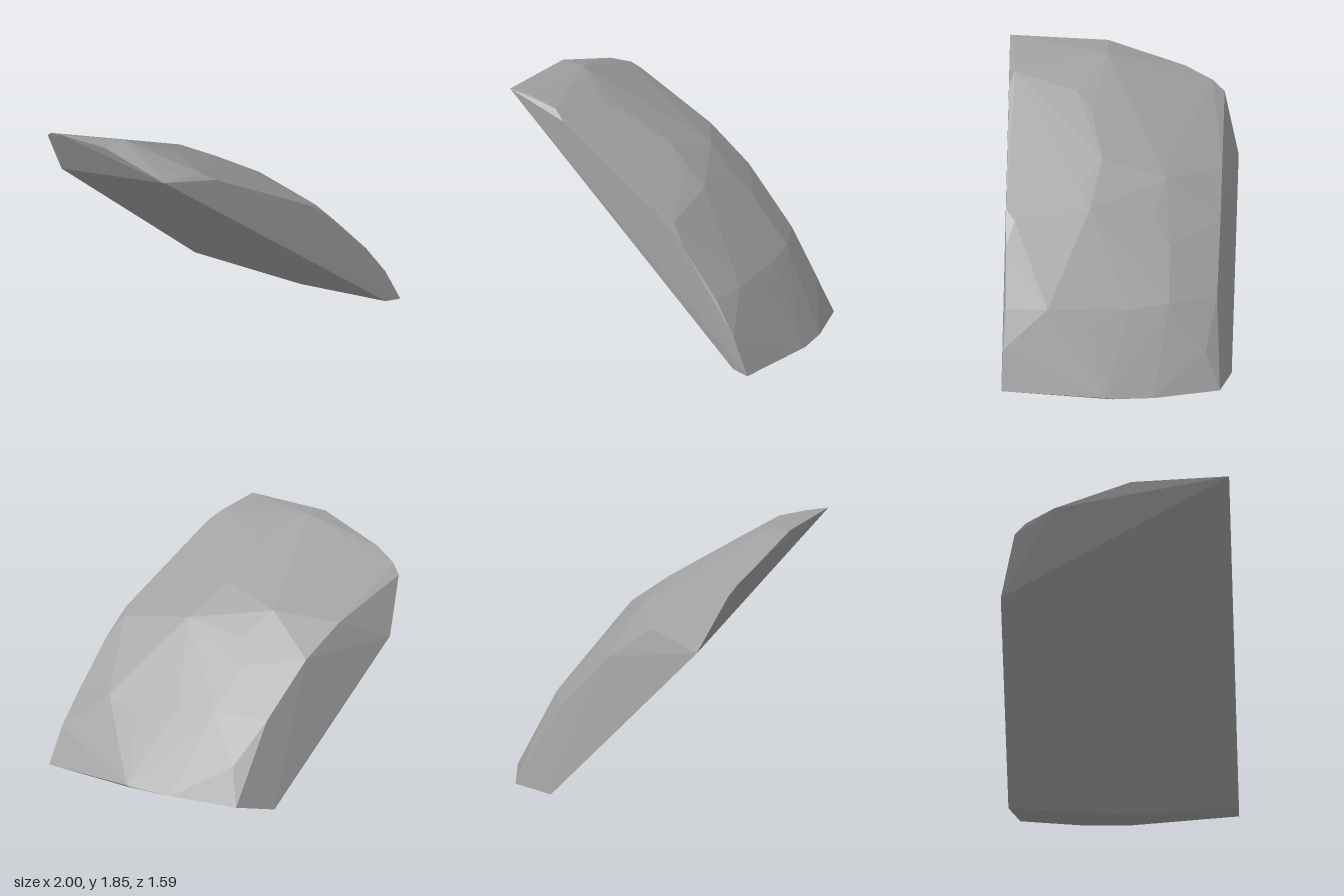
import * as THREE from 'three';
import { ConvexGeometry } from 'three/addons/geometries/ConvexGeometry.js';

// A faceted rock shard: a domed slab tilted down to the left, cut flat at front, back and underside.
const v = (x, y, z) => new THREE.Vector3(x, y, z);

// corners of the flat underside, its bevel and the end edges
const base = [
  v(-0.98, 1.845, 0.77), v(0.88, 0.22, 0.785), v(1, 0.2, 0.79),
  v(-0.71, 1.07, -0.8), v(0.4, 0, -0.775), v(0.68, 0.07, 0.07),
  v(0.7, 0.04, -0.7), v(0.89, 0.09, -0.25), v(0.96, 0.12, 0.03), v(0.97, 0.135, 0.08),
  v(-0.9, 1.46, -0.7), v(-0.93, 1.53, -0.62), v(-0.97, 1.62, -0.43), v(-1, 1.8, 0.1),
];

// upper rim of the front face
const frontRim = [
  v(-0.83, 1.82, 0.74), v(-0.63, 1.77, 0.73), v(-0.54, 1.71, 0.768), v(0.26, 1.21, 0.772),
  v(0.34, 1.16, 0.71), v(0.45, 1.03, 0.77), v(0.73, 0.69, 0.765), v(0.88, 0.46, 0.78),
];

// upper rim of the back face
const backRim = [v(-0.32, 1.2, -0.695), v(0, 0.98, -0.69), v(0.37, 0.6, -0.675)];

// facet corners across the dome
const dome = [
  v(-0.83, 1.8, 0.1), v(-0.52, 1.68, 0.3), v(-0.4, 1.6, 0.2), v(-0.08, 1.41, 0.12),
  v(-0.06, 1.27, -0.32), v(0.12, 1.29, 0.28), v(0.24, 1.2, 0.2), v(0.16, 1.1, -0.24),
  v(0.28, 0.93, -0.35), v(0.55, 0.64, -0.35), v(0.63, 0.64, -0.08), v(0.74, 0.57, 0.2),
  v(0.73, 0.69, 0.48), v(0.63, 0.3, -0.6),
];

export function createModel() {
  const stone = new THREE.MeshStandardMaterial({ color: 0xa0a0a0 });
  stone.name = 'stone grey';
  stone.flatShading = true;

  const rock = new THREE.Mesh(new ConvexGeometry([...base, ...frontRim, ...backRim, ...dome]), stone);
  rock.name = 'rock';

  const group = new THREE.Group();
  group.name = 'rockShard';
  group.add(rock);
  return group;
}
